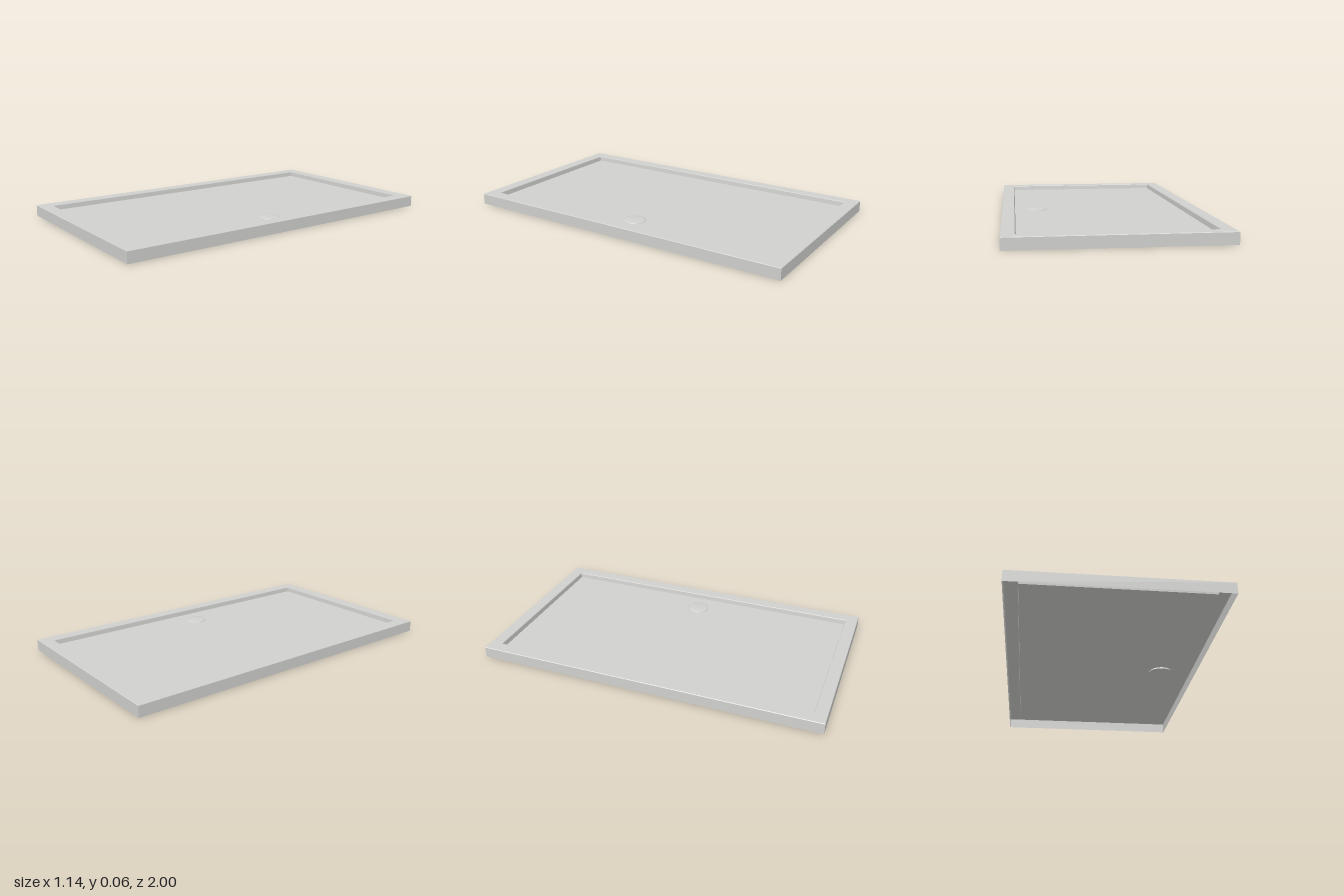
import * as THREE from 'three';

// Skin joining a series of rectangular loops [halfX, y, halfZ]
function rectSkin(loops, cap) {
  const pos = [];
  const corners = ([x, y, z]) => [[-x, y, z], [x, y, z], [x, y, -z], [-x, y, -z]];
  const quad = (a, b, c, d) => pos.push(...a, ...b, ...c, ...a, ...c, ...d);
  for (let i = 0; i < loops.length - 1; i++) {
    const lo = corners(loops[i]), hi = corners(loops[i + 1]);
    for (let k = 0; k < 4; k++) {
      const n = (k + 1) % 4;
      quad(lo[k], lo[n], hi[n], hi[k]);
    }
  }
  if (cap) quad(...corners(loops[loops.length - 1]));
  const geo = new THREE.BufferGeometry();
  geo.setAttribute('position', new THREE.Float32BufferAttribute(pos, 3));
  geo.computeVertexNormals();
  return geo;
}

export function createModel() {
  const group = new THREE.Group();
  group.name = 'showerTray';
  const enamel = new THREE.MeshStandardMaterial({ color: 0xd0d0ce, side: THREE.DoubleSide });
  enamel.name = 'paleGreyEnamel';
  const add = (name, geo) => {
    const mesh = new THREE.Mesh(geo, enamel);
    mesh.name = name;
    group.add(mesh);
    return mesh;
  };

  const floorY = 0.036;

  // Outer skirt, open underneath, with a softened top edge and flat rim
  add('rim', rectSkin([
    [0.57, 0, 1], [0.57, 0.062, 1], [0.567, 0.065, 0.997], [0.5, 0.065, 0.93],
  ], false));

  // Sunken basin: steep walls and a flat floor
  add('basin', rectSkin([
    [0.5, 0.065, 0.93], [0.498, 0.062, 0.928], [0.495, floorY, 0.925],
  ], true));

  // Shallow domed drain cover
  const dome = [];
  for (let i = 0; i <= 6; i++) {
    const a = (i / 6) * Math.PI / 2;
    dome.push(new THREE.Vector2(0.066 * Math.cos(a), 0.002 + 0.008 * Math.sin(a)));
  }
  dome.unshift(new THREE.Vector2(0.066, 0));
  add('drainCover', new THREE.LatheGeometry(dome, 40)).position.set(0.37, floorY, -0.005);

  // Drain collar below the floor
  add('drainCollar', new THREE.CylinderGeometry(0.066, 0.076, 0.012, 40))
    .position.set(0.37, floorY - 0.007, -0.005);

  return group;
}
